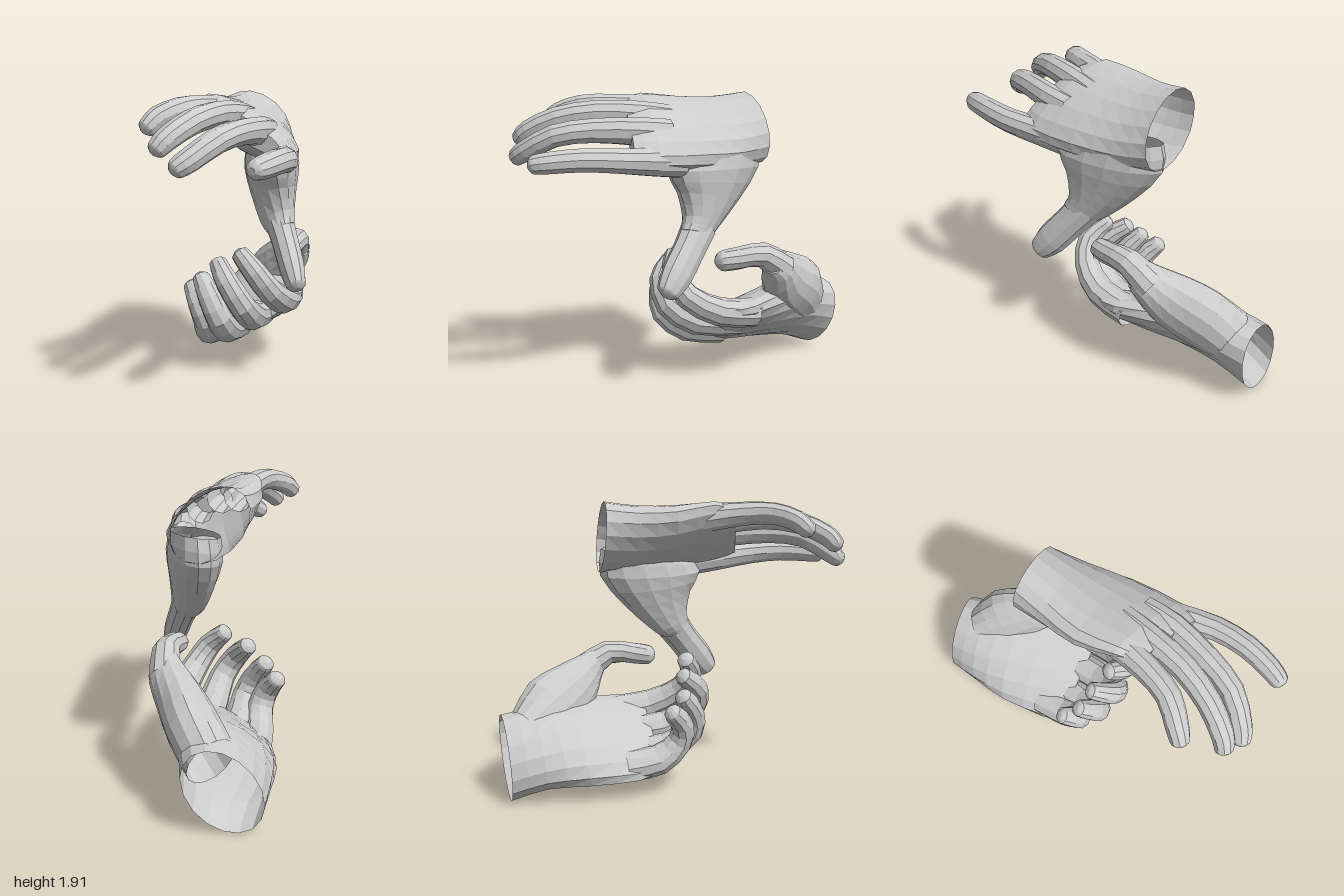
import * as THREE from 'three';

const material = new THREE.MeshStandardMaterial({ color: 0xcccccc, flatShading: true, side: THREE.DoubleSide });
const V = (a) => new THREE.Vector3(a[0], a[1], a[2]);

// Skin elliptical sections {c: centre, u: half width, v: half thickness}; the end is capped
function loft(name, sections, sides, steps) {
  const track = (key) => new THREE.CatmullRomCurve3(sections.map((s) => s[key]), false, 'catmullrom', 0.5);
  const cs = track('c'), us = track('u'), vs = track('v');
  const rows = (sections.length - 1) * steps;
  const pos = [], index = [];
  const flow = sections[1].c.clone().sub(sections[0].c);
  const flip = sections[0].u.clone().cross(sections[0].v).dot(flow) < 0;
  const tri = (a, b, c) => (flip ? index.push(a, c, b) : index.push(a, b, c));
  for (let i = 0; i <= rows; i++) {
    const c = cs.getPoint(i / rows), u = us.getPoint(i / rows), v = vs.getPoint(i / rows);
    for (let j = 0; j < sides; j++) {
      const a = (j / sides) * Math.PI * 2;
      const p = c.clone().addScaledVector(u, Math.cos(a)).addScaledVector(v, Math.sin(a));
      pos.push(p.x, p.y, p.z);
    }
  }
  for (let i = 0; i < rows; i++) {
    for (let j = 0; j < sides; j++) {
      const a = i * sides + j, b = i * sides + ((j + 1) % sides);
      tri(a, b, b + sides);
      tri(a, b + sides, a + sides);
    }
  }
  const last = sections[sections.length - 1].c;
  pos.push(last.x, last.y, last.z);
  for (let j = 0; j < sides; j++) {
    tri((rows + 1) * sides, rows * sides + j, rows * sides + ((j + 1) % sides));
  }
  const geometry = new THREE.BufferGeometry();
  geometry.setAttribute('position', new THREE.Float32BufferAttribute(pos, 3));
  geometry.setIndex(index);
  geometry.computeVertexNormals();
  const mesh = new THREE.Mesh(geometry, material);
  mesh.name = name;
  return mesh;
}

// Finger or thumb: points are [x, y, z, half width, half thickness]; the end is rounded off
function digit(name, axis, points) {
  const centres = points.map(V);
  const sections = points.map((p, i) => {
    const d = centres[Math.min(i + 1, points.length - 1)].clone().sub(centres[Math.max(i - 1, 0)]).normalize();
    const u = V(axis).addScaledVector(d, -V(axis).dot(d)).normalize();
    const v = d.clone().cross(u);
    return { c: centres[i], u: u.multiplyScalar(p[3]), v: v.multiplyScalar(p[4]), d };
  });
  const end = sections[sections.length - 1];
  const r = end.v.length();
  for (const [along, scale] of [[0.45, 0.8], [0.75, 0.35]]) {
    sections.push({
      c: end.c.clone().addScaledVector(end.d, r * along),
      u: end.u.clone().multiplyScalar(scale),
      v: end.v.clone().multiplyScalar(scale),
    });
  }
  return loft(name, sections, 10, 2);
}

// Hand, open at the wrist: palm and thumbBase sections are [centre, half width, half thickness]
function hand(name, { palm, thumbBase, axis, radii, fingers, thumb, thumbAxis }) {
  const group = new THREE.Group();
  group.name = name;
  const toSections = (list) => list.map(([c, u, v]) => ({ c: V(c), u: V(u), v: V(v) }));
  group.add(loft('palm', toSections(palm), 16, 2));
  group.add(loft('thumbBase', toSections(thumbBase), 14, 2));
  for (const [finger, points] of Object.entries(fingers)) {
    group.add(digit(finger, axis, points.map((p, i) => [...p, ...radii[i]])));
  }
  group.add(digit('thumb', thumbAxis, thumb));
  return group;
}

export function createModel() {
  const model = new THREE.Group();
  model.name = 'pairOfHands';

  // Upper hand reaches forward, palm down, with the thumb pointing down
  model.add(hand('upperHand', {
    palm: [
      [[-0.3, 1.68, -0.4], [0.14, -0.18, -0.15], [0.095, 0.15, -0.085]],
      [[-0.14, 1.66, -0.25], [0.18, -0.18, -0.18], [0.08, 0.14, -0.07]],
      [[0.05, 1.67, -0.07], [0.24, -0.18, -0.2], [0.06, 0.13, -0.05]],
      [[0.27, 1.7, 0.13], [0.27, -0.19, -0.16], [0.04, 0.1, -0.03]],
      [[0.36, 1.71, 0.24], [0.23, -0.15, -0.13], [0.025, 0.06, -0.015]],
    ],
    thumbBase: [
      [[0.01, 1.58, -0.26], [0.25, -0.02, 0.19], [0.11, 0.02, -0.12]],
      [[0.05, 1.43, -0.24], [0.3, 0.01, 0.21], [0.12, 0.02, -0.14]],
      [[0.1, 1.26, -0.22], [0.21, 0.05, 0.13], [0.09, 0.02, -0.12]],
      [[0.18, 1.1, -0.19], [0.125, 0.06, 0.06], [0.05, 0.03, -0.1]],
      [[0.24, 1.03, -0.17], [0.1, 0.05, 0.05], [0.04, 0.02, -0.08]],
    ],
    axis: [0.8, -0.45, -0.45],
    radii: [[0.09, 0.1], [0.088, 0.09], [0.082, 0.076], [0.078, 0.07], [0.072, 0.066], [0.062, 0.058]],
    fingers: {
      littleFinger: [[-0.04, 1.78, 0.05], [0.06, 1.81, 0.22], [0.165, 1.835, 0.42], [0.23, 1.835, 0.6], [0.23, 1.79, 0.76], [0.23, 1.74, 0.83]],
      ringFinger: [[0.13, 1.75, 0.05], [0.24, 1.785, 0.22], [0.37, 1.805, 0.45], [0.45, 1.77, 0.68], [0.48, 1.69, 0.86], [0.475, 1.64, 0.92]],
      middleFinger: [[0.28, 1.67, 0], [0.41, 1.695, 0.16], [0.535, 1.705, 0.4], [0.62, 1.675, 0.62], [0.625, 1.58, 0.81], [0.61, 1.54, 0.88]],
      indexFinger: [[0.32, 1.5, -0.1], [0.49, 1.52, 0.03], [0.69, 1.545, 0.18], [0.83, 1.56, 0.35], [0.915, 1.55, 0.51], [0.945, 1.54, 0.595]],
    },
    thumbAxis: [0.7, 0.3, 0.55],
    thumb: [
      [0.2, 1.08, -0.185, 0.12, 0.1],
      [0.31, 0.95, -0.15, 0.11, 0.09],
      [0.43, 0.81, -0.105, 0.11, 0.085],
      [0.505, 0.725, -0.075, 0.085, 0.068],
    ],
  }));

  // Lower hand is cupped, thumb side up, with the fingers curling over
  model.add(hand('lowerHand', {
    palm: [
      [[-0.855, 0.265, -0.785], [0.1, 0.24, -0.14], [0.11, -0.11, -0.13]],
      [[-0.7, 0.32, -0.63], [0.13, 0.22, -0.18], [0.12, -0.1, -0.12]],
      [[-0.5, 0.34, -0.47], [0.18, 0.22, -0.25], [0.1, -0.11, -0.09]],
      [[-0.2, 0.33, -0.27], [0.25, 0.2, -0.27], [0.06, -0.09, -0.05]],
      [[-0.08, 0.345, -0.17], [0.23, 0.17, -0.24], [0.03, -0.05, -0.03]],
    ],
    thumbBase: [
      [[-0.7, 0.39, -0.74], [0.05, -0.14, 0.08], [0.06, -0.08, -0.13]],
      [[-0.5, 0.53, -0.71], [0.08, -0.18, 0.1], [0.05, -0.06, -0.15]],
      [[-0.31, 0.64, -0.66], [0.1, -0.15, 0.08], [0.05, -0.05, -0.13]],
      [[-0.16, 0.76, -0.64], [0.08, -0.09, 0.03], [0.03, -0.03, -0.11]],
      [[-0.1, 0.81, -0.61], [0.06, -0.07, 0.02], [0.03, -0.03, -0.08]],
    ],
    axis: [0.6, 0.45, -0.65],
    radii: [[0.11, 0.1], [0.105, 0.095], [0.09, 0.084], [0.08, 0.075], [0.064, 0.062]],
    fingers: {
      littleFinger: [[-0.42, 0.2, -0.12], [-0.28, 0.235, 0.04], [-0.19, 0.35, 0.14], [-0.22, 0.48, 0.18], [-0.31, 0.57, 0.17]],
      ringFinger: [[-0.28, 0.24, -0.22], [-0.13, 0.275, 0], [-0.04, 0.4, 0.14], [-0.09, 0.54, 0.18], [-0.19, 0.65, 0.175]],
      middleFinger: [[-0.18, 0.34, -0.36], [0.02, 0.38, -0.11], [0.115, 0.51, 0.06], [0.05, 0.66, 0.13], [-0.08, 0.76, 0.11]],
      indexFinger: [[-0.06, 0.45, -0.5], [0.12, 0.49, -0.3], [0.205, 0.6, -0.11], [0.18, 0.74, 0], [0.07, 0.84, 0.03]],
    },
    thumbAxis: [0.4, -0.7, 0.4],
    thumb: [
      [-0.18, 0.74, -0.66, 0.11, 0.11],
      [-0.04, 0.86, -0.55, 0.085, 0.09],
      [0.07, 0.85, -0.41, 0.075, 0.08],
      [0.12, 0.84, -0.33, 0.07, 0.075],
    ],
  }));
  return model;
}
